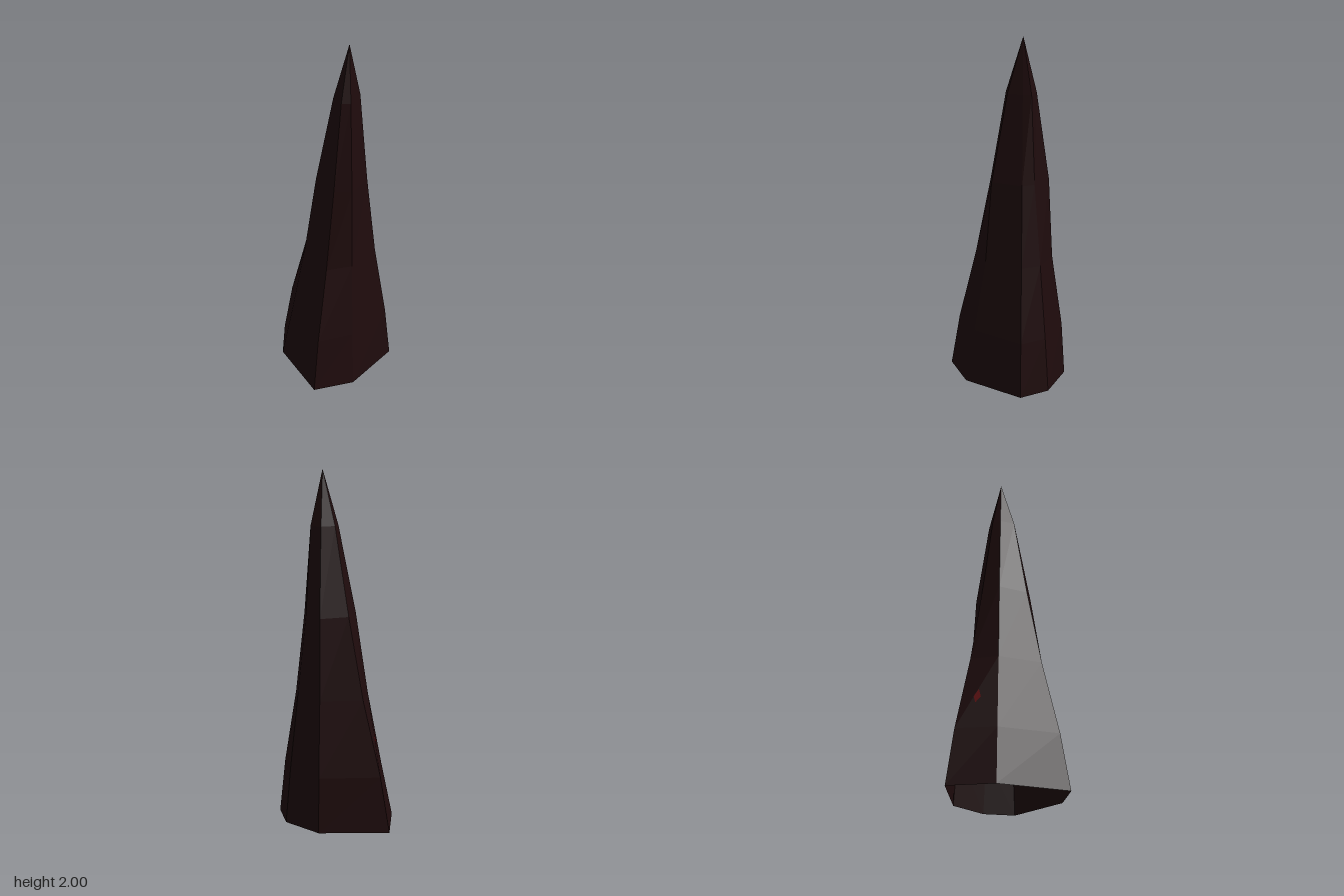
import * as THREE from 'three';

// Base outline as [x, z], clockwise seen from above
const BASE = [
  [0.015, -0.343], [0.246, -0.278], [0.351, -0.135], [0.213, 0.21],
  [0.012, 0.342], [-0.28, 0.06], [-0.353, -0.193],
];
const TIP = new THREE.Vector3(0.083, 2, -0.097);
// Each ring: height, then how far every corner still lies from the tip's axis
const RINGS = [
  [0, 1, 1, 1, 1, 1, 1, 1],
  [0.32, 0.915, 0.87, 0.866, 0.842, 0.87, 0.835, 0.86],
  [0.75, 0.67, 0.66, 0.6, 0.63, 0.626, 0.63, 0.595],
  [1.21, 0.573, 0.43, 0.4, 0.52, 0.414, 0.457, 0.38],
  [1.7, 0.29, 0.3, 0.18, 0.255, 0.216, 0.213, 0.18],
];

function ringPoints([y, ...spread]) {
  return BASE.map(([x, z], i) => new THREE.Vector3(
    TIP.x + (x - TIP.x) * spread[i], y, TIP.z + (z - TIP.z) * spread[i]));
}

function facets(points) {
  const geometry = new THREE.BufferGeometry().setFromPoints(points);
  geometry.computeVertexNormals();
  return geometry;
}

export function createModel() {
  const group = new THREE.Group();
  group.name = 'rockSpike';

  const darkStone = new THREE.MeshStandardMaterial({ color: 0x1e0b0c, flatShading: true, side: THREE.DoubleSide });
  darkStone.name = 'darkStone';
  const redFleck = new THREE.MeshStandardMaterial({ color: 0x620a0c, side: THREE.DoubleSide });
  redFleck.name = 'redFleck';

  // Faceted hollow spike, open underneath: bands between rings, then the tip
  const rings = RINGS.map(ringPoints);
  const points = [];
  rings.forEach((low, r) => {
    const high = rings[r + 1];
    low.forEach((corner, i) => {
      const j = (i + 1) % low.length;
      if (high) points.push(low[j], corner, high[i], low[j], high[i], high[j]);
      else points.push(low[j], corner, TIP);
    });
  });
  const spike = new THREE.Mesh(facets(points), darkStone);
  spike.name = 'spike';
  group.add(spike);

  // Small red fleck lying on one side face
  const onFace = (u, t) => {
    const a = rings[1][5].clone().lerp(rings[2][5], t);
    const b = rings[1][6].clone().lerp(rings[2][6], t);
    return a.lerp(b, u).add(new THREE.Vector3(-0.006, 0.001, 0.002));
  };
  const [p, q, s, w] = [[0.66, 0.43], [0.54, 0.53], [0.46, 0.42], [0.59, 0.34]].map(c => onFace(...c));
  const fleck = new THREE.Mesh(facets([p, w, s, p, s, q]), redFleck);
  fleck.name = 'fleck';
  group.add(fleck);

  return group;
}
